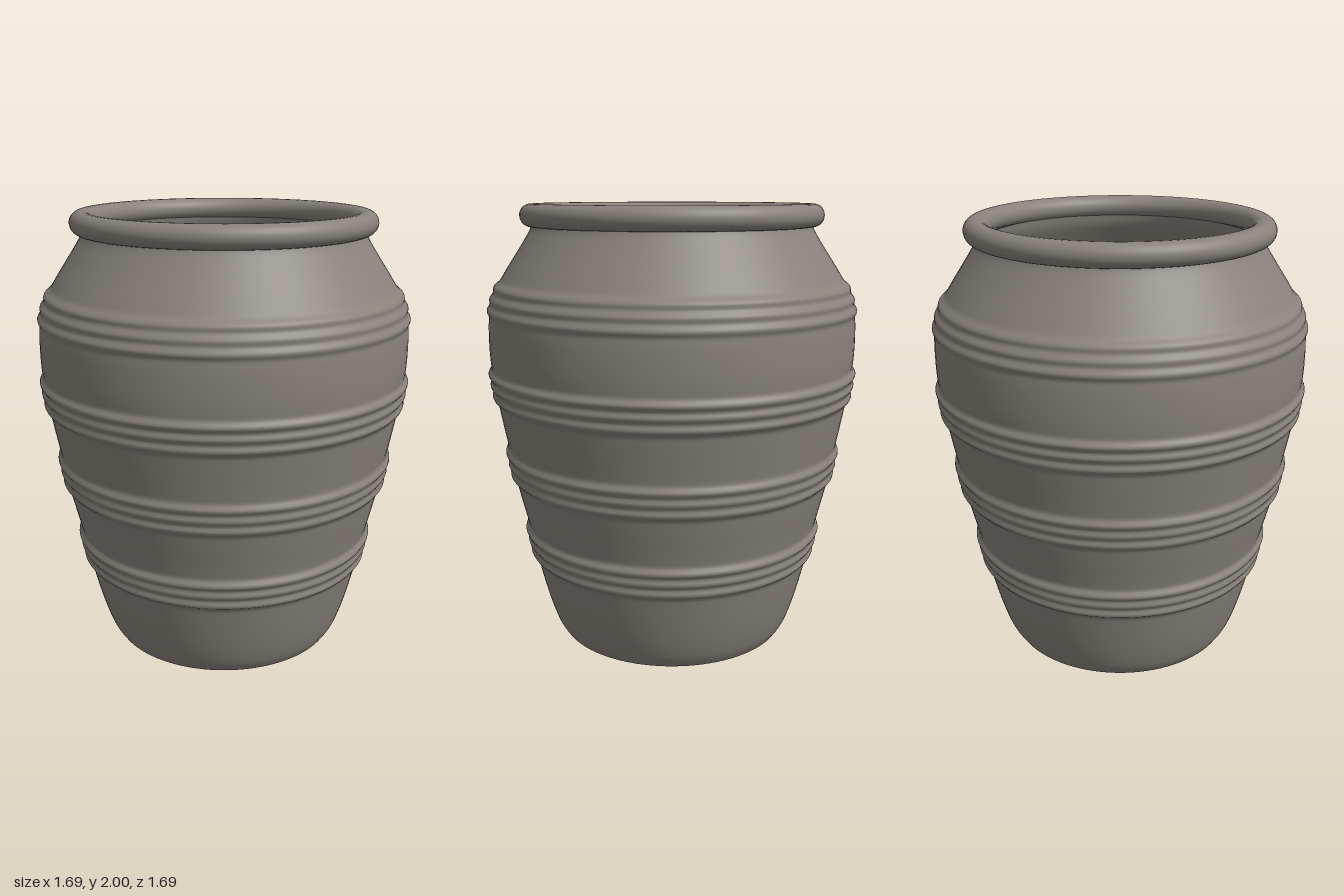
import * as THREE from 'three';

const SEGMENTS = 96;

// Smooth curve through a few [radius, height] points
function curve(points, divisions) {
  return new THREE.SplineCurve(points.map(([r, y]) => new THREE.Vector2(r, y))).getPoints(divisions);
}

// Outward swell of the triple-ridged bands at height y
function bandSwell(y) {
  let swell = 0;
  for (const [centre, strength] of [[0.45, 1], [0.83, 0.9], [1.2, 0.9], [1.59, 0.65]]) {
    const d = Math.abs(y - centre);
    if (d > 0.085) continue;
    const fade = THREE.MathUtils.smoothstep(0.085 - d, 0, 0.025);
    const ridge = 0.5 + 0.5 * Math.cos((d / 0.05) * Math.PI * 2);
    swell += strength * fade * (0.009 + 0.012 * ridge);
  }
  return swell;
}

export function createModel() {
  const model = new THREE.Group();
  model.name = 'pot';
  const clay = new THREE.MeshStandardMaterial({ color: 0x88827b });
  clay.name = 'grey clay';

  function turned(name, points) {
    const mesh = new THREE.Mesh(new THREE.LatheGeometry(points, SEGMENTS), clay);
    mesh.name = name;
    model.add(mesh);
  }
  const line = (...pts) => pts.map(([r, y]) => new THREE.Vector2(r, y));

  // Outer wall with four ridged bands
  const outer = curve([
    [0.53, 0], [0.565, 0.06], [0.605, 0.18], [0.65, 0.36], [0.69, 0.55], [0.735, 0.74],
    [0.77, 0.93], [0.805, 1.12], [0.828, 1.28], [0.834, 1.4], [0.828, 1.52],
    [0.8, 1.62], [0.755, 1.7], [0.69, 1.8], [0.64, 1.88], [0.625, 1.92],
  ], 280);
  for (const p of outer) p.x += bandSwell(p.y);
  turned('outerWall', outer);

  // Rounded rim: two half rounds joined by short flats
  const rim = [];
  for (let i = 0; i <= 32; i++) {
    const a = -Math.PI / 2 + (i / 32) * Math.PI * 2;
    const shift = i <= 16 ? 0.63 : 0.62;
    rim.push(new THREE.Vector2(shift + Math.cos(a) * 0.05, 1.95 + Math.sin(a) * 0.05));
  }
  rim.push(rim[0].clone());
  turned('rim', rim);

  // Inner wall, running down to the floor
  turned('innerWall', curve([
    [0.585, 1.91], [0.6, 1.86], [0.64, 1.79], [0.7, 1.69], [0.745, 1.6], [0.772, 1.5], [0.776, 1.38],
    [0.768, 1.25], [0.745, 1.1], [0.71, 0.92], [0.675, 0.73], [0.635, 0.54],
    [0.595, 0.36], [0.555, 0.18], [0.525, 0.08],
  ], 80));

  // Floor, drain hole and underside
  turned('floor', line([0.525, 0.08], [0.052, 0.08]));
  turned('drainHole', line([0.052, 0.08], [0.052, 0]));
  turned('underside', line([0.052, 0], [0.53, 0]));

  return model;
}
